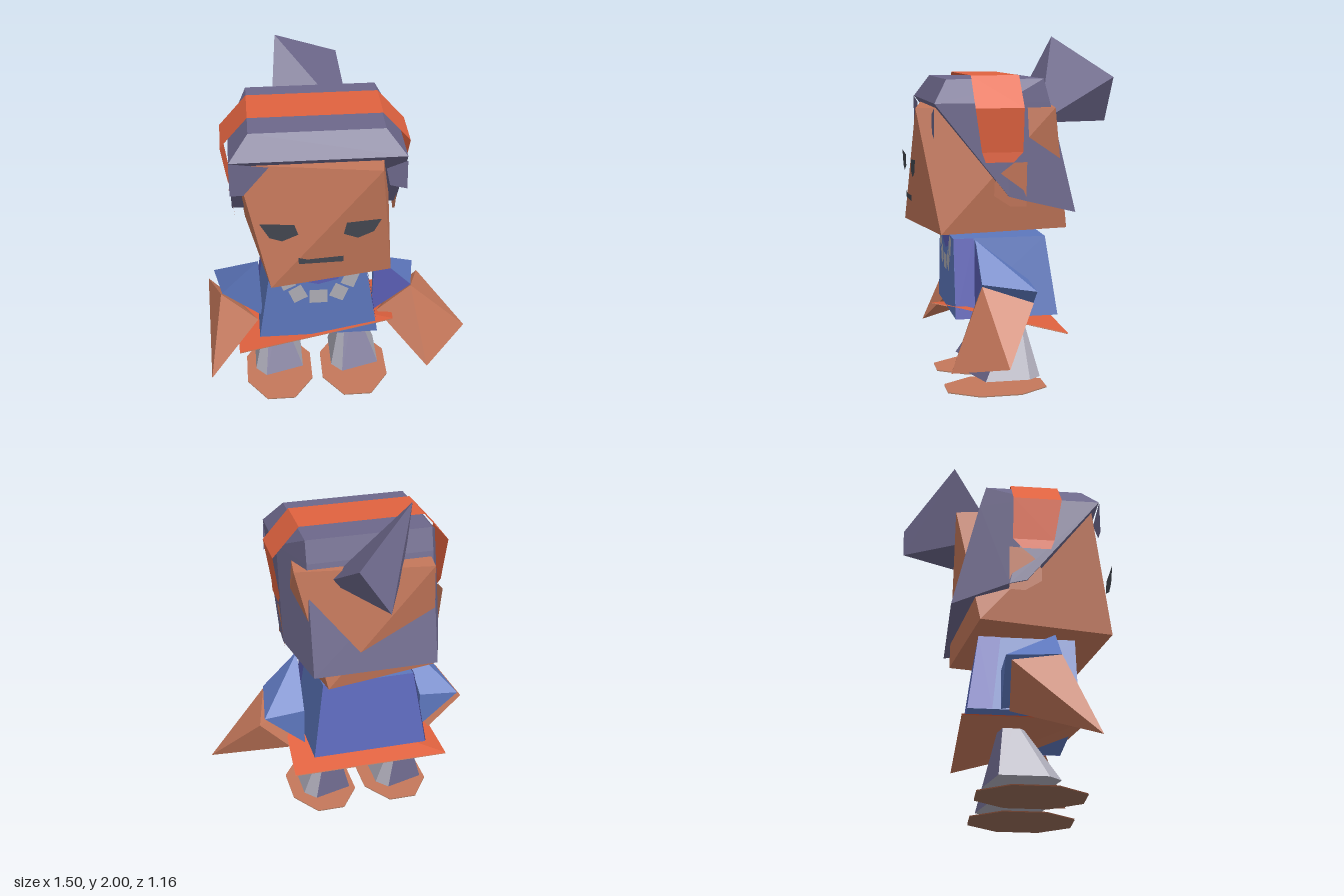
import * as THREE from 'three';
import { ConvexGeometry } from 'three/addons/geometries/ConvexGeometry.js';

const MID = -0.134; // body and head share this off-centre axis
const paint = (name, color) =>
  new THREE.MeshStandardMaterial({ name, color, side: THREE.DoubleSide });

export function createModel() {
  const model = new THREE.Group();
  model.name = 'figure';
  const skin = paint('skin', 0xc4775a);
  const soleBrown = paint('sole brown', 0x946a56);
  const hairCol = paint('hair purple', 0x6c678a);
  const blue = paint('shirt blue', 0x5d77bd);
  const indigo = paint('shirt indigo', 0x5c69bb);
  const violet = paint('shirt violet', 0x5a5eb4);
  const red = paint('band red', 0xe0623f);
  const grey = paint('leg grey', 0xadabb8);
  const pale = paint('collar grey', 0xadacb4);
  const dark = paint('feature dark', 0x42464f);

  const add = (name, geo, mat) => {
    const mesh = new THREE.Mesh(geo, mat);
    mesh.name = name;
    model.add(mesh);
    return mesh;
  };
  const v = (p) => new THREE.Vector3(...p);
  const mirror = ([x, y, z]) => [2 * MID - x, y, z];
  // Faceted solid around a few corners
  const solid = (name, pts, mat) => add(name, new ConvexGeometry(pts.map(v)), mat);
  // Flat convex polygon, as a fan
  const sheet = (name, pts, mat) => {
    const tri = [];
    for (let i = 1; i < pts.length - 1; i++) tri.push(...pts[0], ...pts[i], ...pts[i + 1]);
    const geo = new THREE.BufferGeometry();
    geo.setAttribute('position', new THREE.Float32BufferAttribute(tri, 3));
    geo.computeVertexNormals();
    return add(name, geo, mat);
  };
  // Polygon facing the front at one depth
  const frontSheet = (name, pts, z, mat) => sheet(name, pts.map(([x, y]) => [x, y, z]).reverse(), mat);

  // Head: a box twisted between bottom and top
  solid('head', [
    [-0.56, 1.615, 0.45], [0.19, 1.615, 0.575], [0.295, 1.615, -0.18], [-0.46, 1.615, -0.295],
    [-0.40, 0.925, 0.575], [0.257, 0.925, 0.45], [0.132, 0.925, -0.285], [-0.525, 0.925, -0.16],
  ], skin);

  // Flat face details just in front of the head
  const rightEye = [[-0.45, 1.332], [-0.27, 1.32], [-0.25, 1.258], [-0.335, 1.222], [-0.40, 1.245]];
  const leftEye = [[0.185, 1.332], [0.145, 1.258], [0.062, 1.222], [-0.013, 1.25], [0.003, 1.318]];
  const mouth = [[-0.253, 1.113], [-0.205, 1.1], [-0.013, 1.113], [-0.013, 1.078], [-0.25, 1.073]];
  frontSheet('rightEye', [...rightEye].reverse(), 0.58, dark);
  frontSheet('leftEye', leftEye, 0.58, dark);
  frontSheet('mouth', mouth, 0.58, dark);

  // Hair cap, sloping from brow to nape
  const cap = [
    [0.221, 1.77, 0.41], [0.221, 1.77, -0.13],
    [0.326, 1.645, 0.49], [0.326, 1.645, 0.12],
    [0.326, 1.136, 0.085], [0.326, 1.11, -0.01],
    [0.221, 1.645, -0.165], [0.221, 1.025, -0.315],
  ];
  solid('hairCap', [...cap, ...cap.map(mirror)], hairCol);
  frontSheet('rightBang', [[-0.595, 1.645], [-0.39, 1.615], [-0.525, 1.455], [-0.595, 1.455]], 0.492, hairCol);
  frontSheet('leftBang', [[0.326, 1.62], [0.326, 1.455], [0.235, 1.48], [0.215, 1.58]], 0.492, hairCol);

  // Hair tuft at the back
  solid('hairTuft', [
    [-0.315, 2, -0.30], [0.045, 1.77, -0.58], [-0.13, 1.51, -0.578],
    [0.097, 1.52, -0.137], [-0.36, 1.53, -0.06],
  ], hairCol);

  // Head band over the hair, an open strip with tapered ends
  const bandEdge = [[0.335, 1.325, 0.06, 0.215], [0.335, 1.38, 0.008, 0.235], [0.37, 1.62, 0.008, 0.275], [0.221, 1.79, 0.008, 0.275]];
  const bandRow = [...bandEdge, ...bandEdge.map(([x, y, a, b]) => [2 * MID - x, y, a, b]).reverse()];
  for (let i = 0; i < bandRow.length - 1; i++) {
    const [x, y, a, b] = bandRow[i];
    const [X, Y, A, B] = bandRow[i + 1];
    sheet('headBand', [[x, y, a], [X, Y, A], [X, Y, B], [x, y, b]], red);
  }

  // Ears, tilted so their upper back corners come out of the hair
  const ear = [[0.125, 1.27], [0.055, 1.325], [-0.012, 1.325], [-0.012, 1.08], [0.075, 1.08], [0.165, 1.14], [0.165, 1.21]]
    .map(([z, y]) => [0.327 + 0.1 * (y - 1.27 - 0.74 * (z - 0.125)), y, z]);
  sheet('leftEar', ear, skin);
  sheet('rightEar', ear.map(mirror), skin);

  // Torso: a box widening downward
  const torso = new THREE.BoxGeometry(1, 1, 1);
  const pos = torso.attributes.position;
  for (let i = 0; i < pos.count; i++) {
    const top = pos.getY(i) > 0;
    pos.setXYZ(i,
      MID + Math.sign(pos.getX(i)) * (top ? 0.268 : 0.336),
      top ? 0.88 : 0.435,
      pos.getZ(i) > 0 ? 0.365 : (top ? -0.16 : -0.22));
  }
  torso.computeVertexNormals();
  add('torso', torso, [blue, blue, blue, blue, blue, indigo]);

  // Violet side panels: front of the left side, back of the right side
  sheet('leftShirtPanel', [[0.138, 0.88, 0.25], [0.206, 0.435, 0.25], [0.206, 0.435, 0.365], [0.138, 0.88, 0.365]], violet);
  sheet('rightShirtPanel', [[0.138, 0.88, -0.16], [0.206, 0.435, -0.22], [0.206, 0.435, -0.09], [0.138, 0.88, -0.04]].map(mirror), violet);

  // Neckline and collar beads
  frontSheet('neckline', [[-0.26, 0.88], [-0.235, 0.815], [MID, 0.787], [-0.025, 0.815], [0.012, 0.88]].reverse(), 0.369, violet);
  const beads = [
    [[-0.372, 0.868], [-0.298, 0.885], [-0.258, 0.79], [-0.33, 0.755]],
    [[-0.303, 0.75], [-0.232, 0.792], [-0.193, 0.708], [-0.27, 0.668]],
  ];
  for (const bead of beads) {
    frontSheet('collarBead', bead, 0.373, pale);
    frontSheet('collarBead', bead.map(mirror).reverse(), 0.373, pale);
  }
  frontSheet('collarBead', [[-0.184, 0.75], [-0.084, 0.75], [-0.084, 0.663], [-0.184, 0.663]], 0.373, pale);

  // Sleeves, rising to a point at the front of the shoulder
  const sleeve = [
    [0.195, 0.88, 0.25], [0.405, 0.67, 0.25], [0.455, 0.63, -0.045],
    [0.22, 0.65, -0.045], [0.18, 0.5, 0.25], [0.22, 0.43, -0.045],
  ];
  solid('leftSleeve', sleeve, blue);
  solid('rightSleeve', sleeve.map(mirror), blue);
  frontSheet('leftSleeveFront', [[0.195, 0.88], [0.405, 0.67], [0.18, 0.5]], 0.254, violet);

  // Hands
  solid('leftHand', [
    [0.405, 0.66, 0.25], [0.75, 0.29, 0.165], [0.49, 0.21, 0.435],
    [0.21, 0.505, 0.26], [0.48, 0.575, -0.02], [0.30, 0.39, -0.01],
  ], skin);
  solid('rightHand', [
    [-0.68, 0.665, 0.25], [-0.755, 0.59, -0.02], [-0.755, 0.21, 0.435],
    [-0.475, 0.48, 0.26], [-0.56, 0.39, -0.01],
  ], skin);

  // Tilted shirt hem with a brown lining
  const hem = [[-0.59, 0.355, -0.255], [-0.59, 0.355, 0.40], [0.29, 0.525, 0.375], [0.325, 0.355, -0.255]];
  sheet('hem', hem, red);
  sheet('hemLining', hem.map(([x, y, z]) => [x, y - 0.006, z]).reverse(), skin);

  // Legs: tapered six-sided trousers with purple front and back panels
  const ankle = [[0.01, 0.27], [0.23, 0.2], [0.23, -0.055], [0.17, -0.125], [-0.05, -0.06], [-0.05, 0.2]];
  const hip = ankle.map(([x, z]) => [0.068 + (x - 0.09) * 0.25, 0.005 + (z - 0.07) * 0.25]);
  for (const [side, dx] of [['left', 0], ['right', -0.45]]) {
    const low = ankle.map(([x, z]) => [x + dx, 0.07, z]);
    const high = hip.map(([x, z]) => [x + dx, 0.39, z]);
    for (let i = 0; i < 6; i++) {
      const j = (i + 1) % 6;
      sheet(side + 'Leg', [low[i], low[j], high[j], high[i]], i % 3 === 0 ? hairCol : grey);
    }
    sheet(side + 'LegEnd', [...low].reverse(), grey);
    // Flat octagonal foot over a darker sole
    for (const [part, y, turn, mat] of [['Foot', 0.006, -1, skin], ['Sole', 0, 1, soleBrown]]) {
      const disc = add(side + part, new THREE.CircleGeometry(1, 8, Math.PI / 8), mat);
      disc.scale.set(0.21, 0.31, 1);
      disc.rotation.x = turn * Math.PI / 2;
      disc.position.set(0.09 + dx, y, 0.12);
    }
  }
  return model;
}
